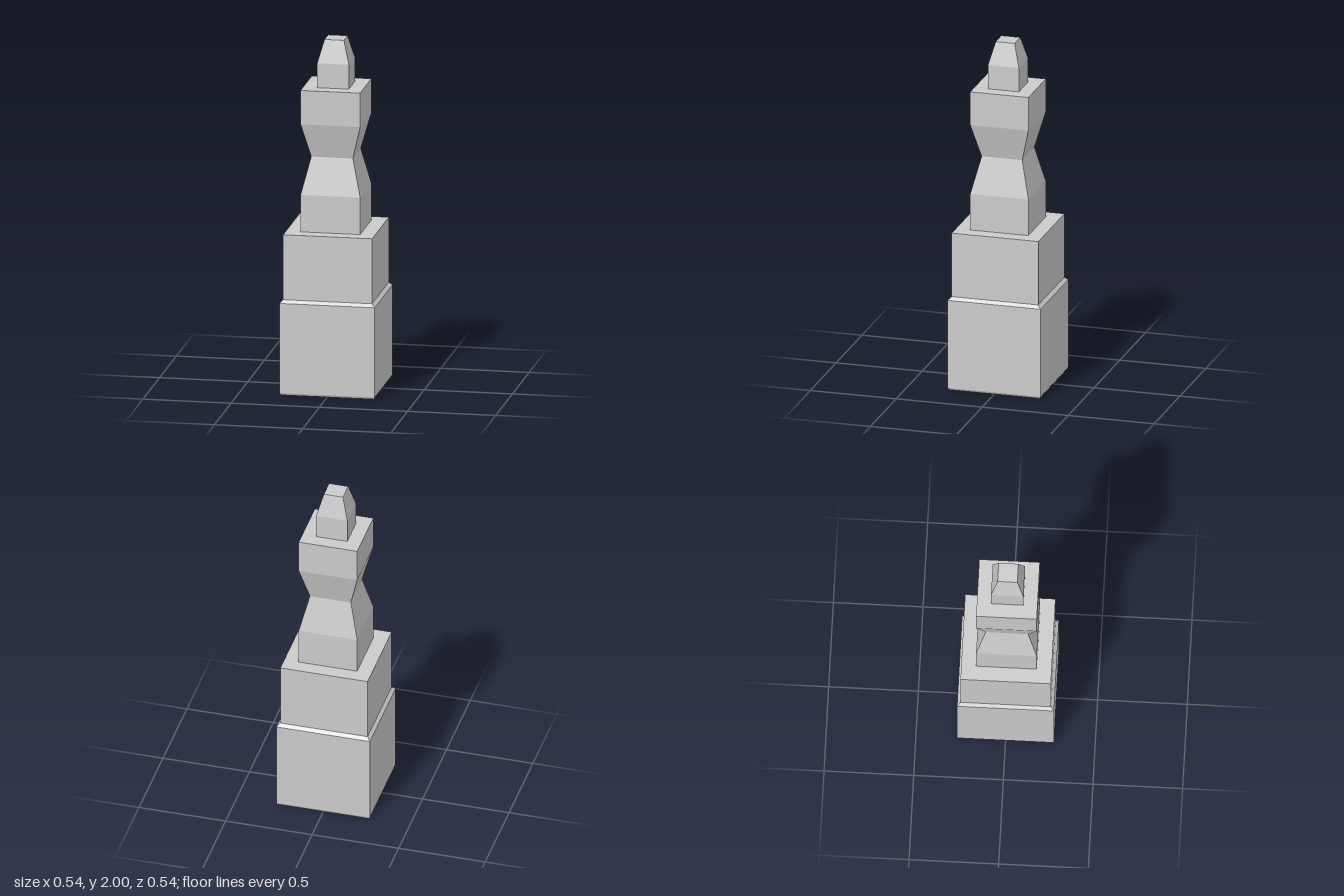
import * as THREE from 'three';

const material = new THREE.MeshStandardMaterial({ color: 0xcccccc, flatShading: true });

// Square-section solid from [half width, height] pairs, closed at both ends
function squareTower(name, profile) {
  const points = profile.map(([half, y]) => new THREE.Vector2(half * Math.SQRT2, y));
  points.unshift(new THREE.Vector2(0, profile[0][1]));
  points.push(new THREE.Vector2(0, profile[profile.length - 1][1]));
  const mesh = new THREE.Mesh(new THREE.LatheGeometry(points, 4, Math.PI / 4), material);
  mesh.name = name;
  return mesh;
}

export function createModel() {
  const model = new THREE.Group();
  model.name = 'steppedPillar';
  model.add(
    // Bevelled block on the ground
    squareTower('base', [[0.264, 0], [0.27, 0.012], [0.27, 0.527], [0.252, 0.545]]),
    // Plain block above the bevel
    squareTower('plinth', [[0.252, 0.545], [0.252, 0.918]]),
    // Shaft pinched to a waist
    squareTower('waistedShaft', [[0.169, 0.918], [0.169, 1.13], [0.118, 1.34], [0.169, 1.535], [0.169, 1.73]]),
    // Small tapered top
    squareTower('finial', [[0.09, 1.73], [0.09, 1.87], [0.055, 2]]),
  );
  return model;
}
